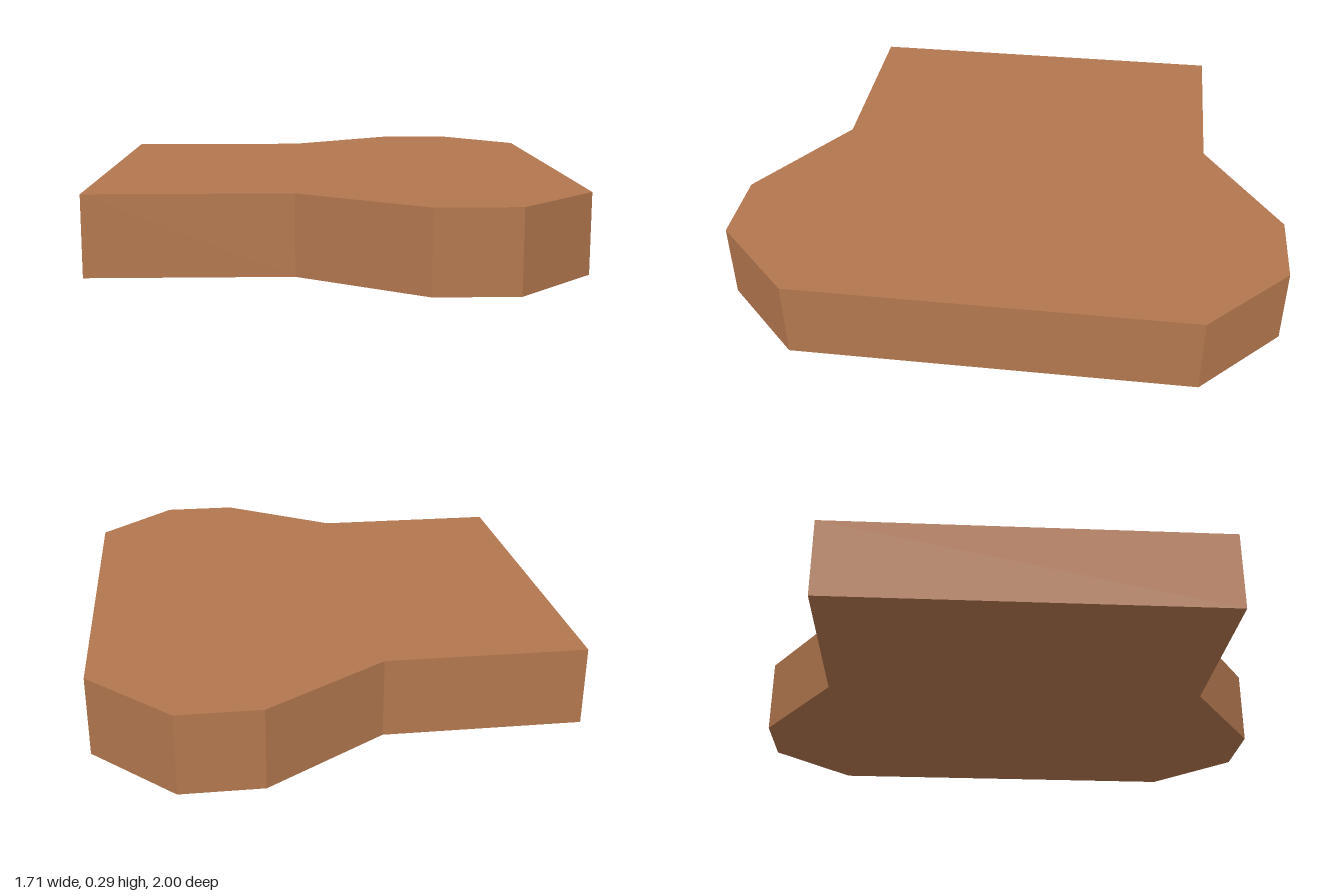
import * as THREE from 'three';

export function createModel() {
  const group = new THREE.Group();
  group.name = 'groundTile';

  const earthBrown = new THREE.MeshStandardMaterial({ color: 0xb3774e });
  earthBrown.name = 'earthBrown';

  // Half outline of the slab in x and z, mirrored across z = 0
  const half = [[-0.857, 0.714], [-0.143, 0.714], [0.286, 1], [0.571, 1], [0.857, 0.714]];
  const mirrored = half.map(([x, z]) => [x, -z]).reverse();
  const outline = [...half, ...mirrored].map(([x, z]) => new THREE.Vector2(x, z));

  // Flat slab, extruded upwards from the ground
  const geometry = new THREE.ExtrudeGeometry(new THREE.Shape(outline), {
    depth: 0.286,
    bevelEnabled: false,
  });
  geometry.rotateX(-Math.PI / 2);

  const slab = new THREE.Mesh(geometry, earthBrown);
  slab.name = 'slab';
  group.add(slab);
  return group;
}
